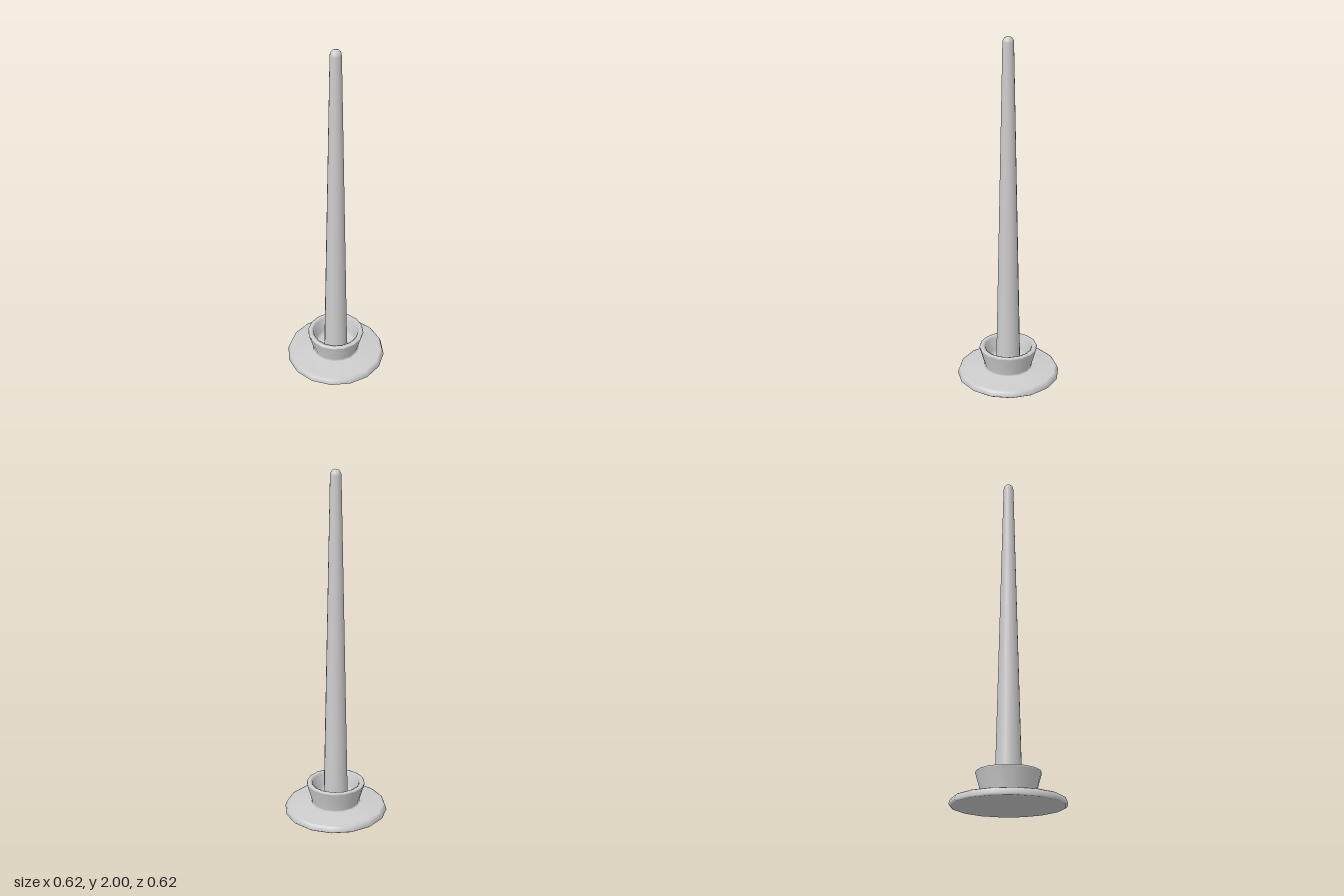
import * as THREE from 'three';

const SIDES = 16;

// Smooth solid of revolution from [radius, height] pairs, listed from bottom to top
function turned(name, profile, material) {
  const points = profile.map(([r, y]) => new THREE.Vector2(r, y));
  const mesh = new THREE.Mesh(new THREE.LatheGeometry(points, SIDES), material);
  mesh.name = name;
  return mesh;
}

export function createModel() {
  const group = new THREE.Group();
  group.name = 'candleInHolder';
  const grey = new THREE.MeshStandardMaterial({ color: 0xcccccc });
  grey.name = 'pale grey';

  // Dished base and flared cup, one continuous profile down into the socket
  group.add(turned('holder', [
    [0, 0], [0.298, 0], [0.308, 0.008], [0.298, 0.034], [0.286, 0.04],
    [0.15, 0.052], [0.142, 0.06],
    [0.175, 0.172], [0.172, 0.18], [0.155, 0.183], [0.141, 0.176],
    [0.125, 0.1], [0.115, 0.065], [0, 0.055],
  ], grey));

  // Long tapered candle with a rounded tip
  group.add(turned('candle', [
    [0, 0.056], [0.073, 0.056], [0.073, 0.06], [0.031, 1.965],
    [0.029, 1.98], [0.019, 1.994], [0, 2],
  ], grey));

  return group;
}
